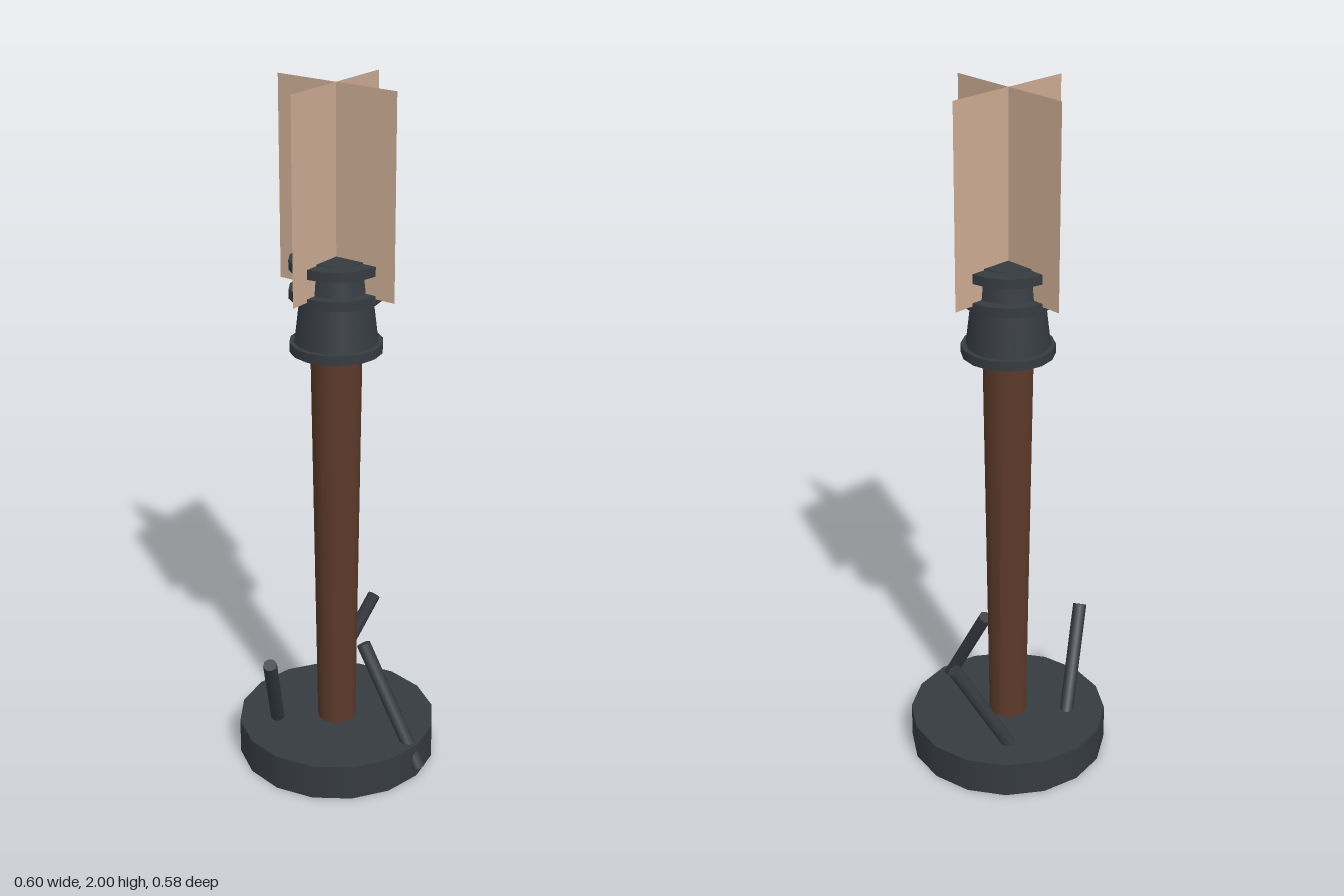
import * as THREE from 'three';

const mat = (name, color, extra = {}) => {
  const m = new THREE.MeshStandardMaterial({ color, ...extra });
  m.name = name;
  return m;
};

export function createModel() {
  const iron = mat('dark iron', 0x363b41);
  const wood = mat('brown wood', 0x5c3a2a);
  const flame = mat('pale flame', 0xcbaa93, { side: THREE.DoubleSide });

  const torch = new THREE.Group();
  torch.name = 'standingTorch';
  torch.position.x = -0.013;

  // Upright cylinder between two heights
  const column = (name, rTop, rBottom, y0, y1, sides, material) => {
    const mesh = new THREE.Mesh(new THREE.CylinderGeometry(rTop, rBottom, y1 - y0, sides), material);
    mesh.name = name;
    mesh.position.y = (y0 + y1) / 2;
    torch.add(mesh);
    return mesh;
  };

  // Base and tapered pole
  column('base', 0.29, 0.29, 0, 0.106, 16, iron);
  column('pole', 0.072, 0.056, 0.1, 1.3, 12, wood);

  // Cup with three raised rings
  column('cup', 0.087, 0.118, 1.275, 1.534, 16, iron);
  for (const y of [1.27, 1.422, 1.503]) column('cupRing', 0.129, 0.129, y, y + 0.027, 16, iron);

  // Three leaning struts around the pole
  for (let i = 0; i < 3; i++) {
    const a = (i * Math.PI * 2) / 3;
    const strut = column('strut', 0.02, 0.02, 0.005, 0.405, 8, iron);
    strut.position.set(Math.cos(a) * 0.197, 0.205, Math.sin(a) * 0.197);
    strut.rotation.set(Math.sin(a) * 0.525, 0, Math.cos(a) * 0.525);
  }

  // Flame: two crossed sheets
  for (const turn of [0, Math.PI / 2]) {
    const sheet = new THREE.Mesh(new THREE.PlaneGeometry(0.38, 0.56), flame);
    sheet.name = 'flameSheet';
    sheet.position.y = 1.72;
    sheet.rotation.y = turn;
    torch.add(sheet);
  }

  const model = new THREE.Group();
  model.name = 'model';
  model.add(torch);
  return model;
}
